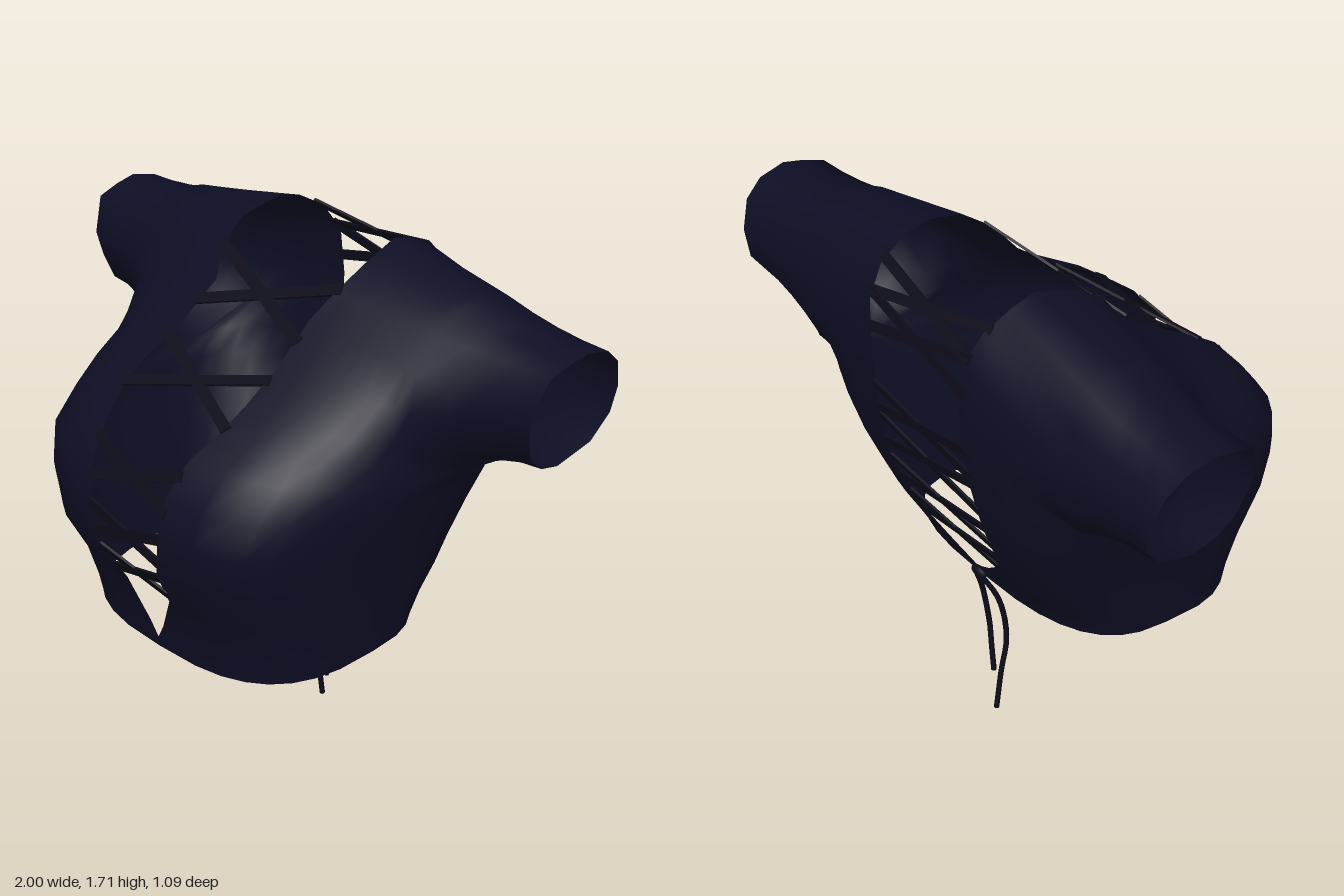
import * as THREE from 'three';
import { mergeVertices } from 'three/addons/utils/BufferGeometryUtils.js';

const COLS = 8, ARMPIT_FRONT = 7, ARMPIT_BACK = 20;

// Laced edges, from hem to shoulder in front and shoulder to hem behind: [x, y, z]
const frontEdge = [
  [0, .485, .42], [0, .52, .425], [.03, .57, .43], [.1, .7, .46], [.13, .83, .53],
  [.155, .98, .545], [.17, 1.1, .52], [.19, 1.2, .45], [.22, 1.27, .36], [.23, 1.33, .27],
  [.22, 1.4, .15], [.21, 1.52, 0], [.25, 1.6, -.06], [.27, 1.67, -.16], [.25, 1.71, -.3],
];
const backEdge = [
  [.25, 1.69, -.38], [.24, 1.64, -.47], [.22, 1.55, -.53], [.21, 1.4, -.54], [.21, 1.28, -.535],
  [.215, 1.15, -.52], [.22, 1.05, -.5], [.22, .95, -.475], [.21, .83, -.43], [.18, .74, -.395],
  [.09, .66, -.36], [0, .6, -.335], [0, .56, -.32],
];
const edge = [...frontEdge, ...backEdge];

// Side seam up to the armpit, then the armhole ring, then the same seam down
const seam = [
  [.51, .53, 0], [.515, .56, 0], [.52, .61, 0], [.54, .72, -.01],
  [.56, .83, -.03], [.59, .95, -.08], [.62, 1.05, -.16], [.64, 1.11, -.26],
];
const armhole = [
  [.63, 1.16, -.12], [.62, 1.25, -.04], [.62, 1.36, -.01], [.61, 1.46, -.04], [.61, 1.56, -.12],
  [.62, 1.62, -.2], [.62, 1.645, -.3], [.62, 1.61, -.4], [.62, 1.54, -.47], [.62, 1.42, -.505],
  [.62, 1.3, -.51], [.63, 1.18, -.45],
];
const side = [...seam, ...armhole, ...seam.slice().reverse()];

// Cuff ring, starting and ending under the arm: [y, z]
const cuff = [
  [1.21, -.3], [1.225, -.23], [1.27, -.17], [1.35, -.14], [1.43, -.125], [1.54, -.165], [1.565, -.24],
  [1.58, -.31], [1.56, -.4], [1.51, -.46], [1.42, -.492], [1.33, -.487], [1.25, -.43], [1.21, -.3],
];

const lerp = THREE.MathUtils.lerp;

// How round each row is: full around the ribs, straight over the shoulder
function roundness(i) {
  const fade = [.9, .8, .6, .4, .2, .1, 0, 0, 0, 0, .1, .3, .6, .9];
  return fade[i - ARMPIT_FRONT] ?? 1;
}

function torsoPoint(i, t) {
  const e = edge[i], s = side[i], q = roundness(i), a = t * Math.PI / 2;
  const wx = lerp(t, Math.pow(Math.sin(a), .7), q);
  const wz = t === 1 ? 0 : lerp(1 - t, Math.pow(Math.cos(a), .7), q);
  return [lerp(e[0], s[0], wx), lerp(s[1], e[1], wz), lerp(s[2], e[2], wz)];
}

function sleevePoint(i, t) {
  const a = side[i], [y, z] = cuff[i - ARMPIT_FRONT];
  const x = .925 + (y - 1.21) / .37 * .075, w = 1 - (1 - t) ** 2;
  return [lerp(a[0], x, t), lerp(a[1], y, w), lerp(a[2], z, w)];
}

// One half of the garment: torso panel and sleeve as joined grids
function halfGeometry(sign) {
  const pos = [], idx = [];
  const grid = (from, to, cols, fn) => {
    const base = pos.length / 3;
    for (let i = from; i <= to; i++) for (let j = 0; j <= cols; j++) {
      const [x, y, z] = fn(i, j / cols);
      pos.push(sign * x, y, z);
    }
    for (let i = 0; i < to - from; i++) for (let j = 0; j < cols; j++) {
      const a = base + i * (cols + 1) + j, b = a + 1, c = b + cols + 1, d = c - 1;
      if (sign > 0) idx.push(a, b, c, a, c, d);
      else idx.push(a, c, b, a, d, c);
    }
  };
  grid(0, edge.length - 1, COLS, torsoPoint);
  grid(ARMPIT_FRONT, ARMPIT_BACK, 4, sleevePoint);
  const g = new THREE.BufferGeometry();
  g.setAttribute('position', new THREE.Float32BufferAttribute(pos, 3));
  g.setIndex(idx);
  const merged = mergeVertices(g, 1e-4);
  merged.computeVertexNormals();
  return merged;
}

// Point on a laced edge at a given height
function edgeAt(list, y, sign) {
  for (let i = 0; i < list.length - 1; i++) {
    const a = list[i], b = list[i + 1];
    if ((y - a[1]) * (y - b[1]) <= 0) {
      const t = (y - a[1]) / (b[1] - a[1]);
      return new THREE.Vector3(sign * (lerp(a[0], b[0], t) + .012), y, lerp(a[2], b[2], t));
    }
  }
  const e = list[0];
  return new THREE.Vector3(sign * e[0], e[1], e[2]);
}

// Flat lace between two points, lying along the slope of the opening
function lace(a, b, slope, width, material, name) {
  const dir = b.clone().sub(a), len = dir.length();
  dir.normalize();
  const out = dir.clone().cross(slope).normalize();
  const up = out.clone().cross(dir);
  const mesh = new THREE.Mesh(new THREE.BoxGeometry(len, width, .008), material);
  mesh.applyMatrix4(new THREE.Matrix4().makeBasis(dir, up, out)
    .setPosition(a.clone().add(b).multiplyScalar(.5)));
  mesh.name = name;
  return mesh;
}

export function createModel() {
  const cloth = new THREE.MeshStandardMaterial({ color: 0x0e0e25, side: THREE.DoubleSide });
  cloth.name = 'navy cloth';
  const cord = new THREE.MeshStandardMaterial({ color: 0x0d0c1a });
  cord.name = 'dark lace';
  const model = new THREE.Group();
  model.name = 'lacedCropTop';

  for (const sign of [1, -1]) {
    const half = new THREE.Mesh(halfGeometry(sign), cloth);
    half.name = sign > 0 ? 'leftHalf' : 'rightHalf';
    model.add(half);
  }

  // Crossed laces: [low end, high end]
  const crosses = (list, spans, width, name) => {
    const group = new THREE.Group();
    group.name = name;
    for (const [lo, hi] of spans) for (const s of [1, -1]) {
      const a = edgeAt(list, lo, -s), b = edgeAt(list, hi, s);
      const slope = new THREE.Vector3(0, b.y - a.y, b.z - a.z).normalize();
      group.add(lace(a, b, slope, width, cord, 'lace'));
    }
    model.add(group);
  };
  crosses(frontEdge, [[1.47, 1.61], [1.28, 1.385], [1.05, 1.16], [.875, .965], [.74, .82]], .036, 'frontLacing');
  crosses(backEdge, [[1.57, 1.65], [1.46, 1.57], [1.17, 1.26], [1.03, 1.14], [.88, .96], [.75, .81]], .032, 'backLacing');

  // Knot and hanging ends at the back hem
  const knot = new THREE.Mesh(new THREE.SphereGeometry(.025, 10, 8), cord);
  knot.scale.set(1.4, .8, .6);
  knot.position.set(0, .575, -.332);
  knot.name = 'knot';
  model.add(knot);
  const ends = [
    [[-.01, .57, -.335], [-.04, .47, -.29], [-.033, .28, -.255], [-.028, .15, -.275], [-.027, 0, -.297]],
    [[.01, .57, -.335], [.035, .47, -.295], [.042, .3, -.265], [.038, .2, -.262], [.025, .11, -.265]],
  ];
  for (const pts of ends) {
    const curve = new THREE.CatmullRomCurve3(pts.map(p => new THREE.Vector3(...p)));
    const string = new THREE.Mesh(new THREE.TubeGeometry(curve, 16, .009, 6), cord);
    string.name = 'hangingLace';
    model.add(string);
  }
  return model;
}
